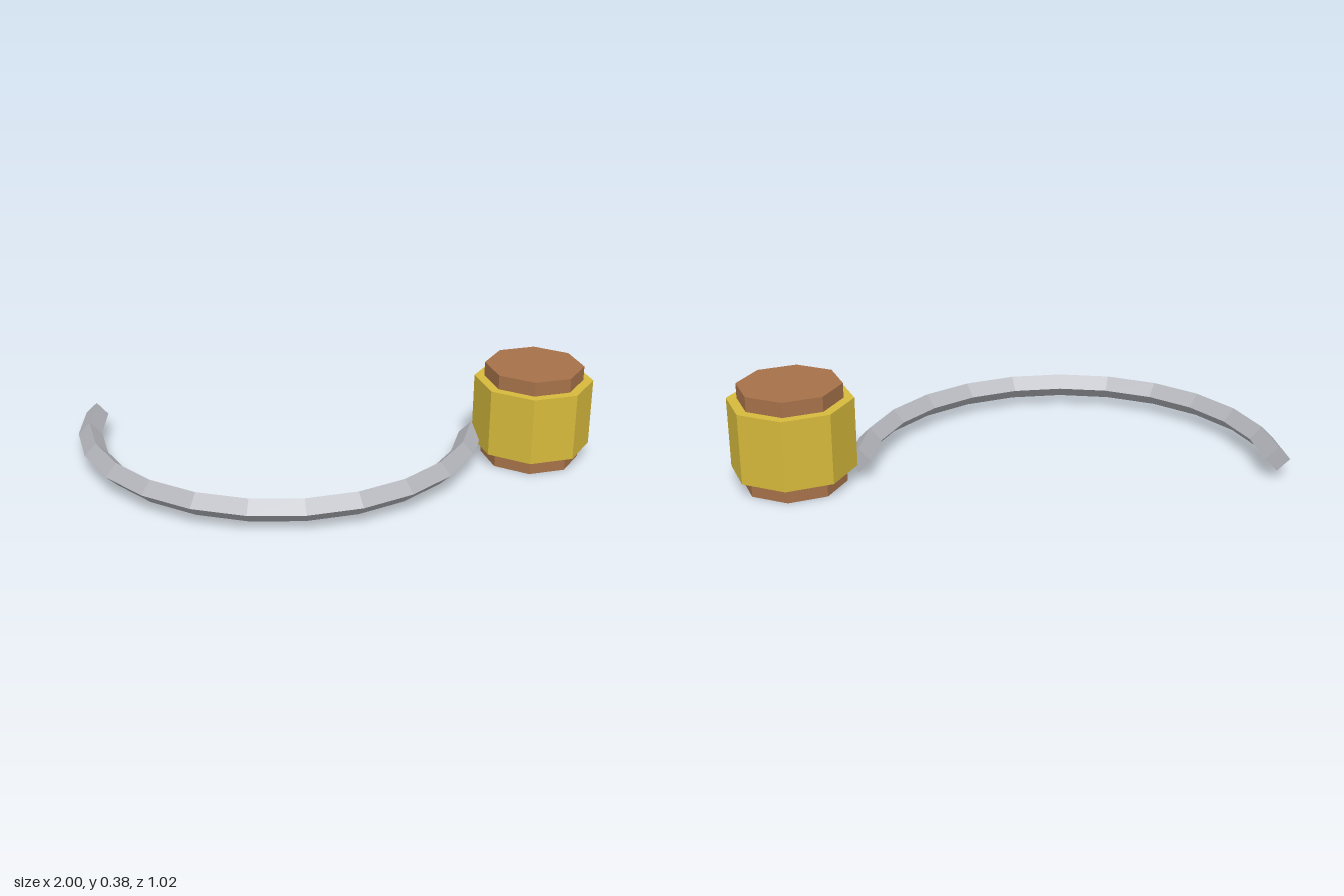
import * as THREE from 'three';

export function createModel() {
  const model = new THREE.Group();
  const mat = (name, color) => {
    const m = new THREE.MeshStandardMaterial({ color, flatShading: true });
    m.name = name;
    return m;
  };
  const steel = mat('steel', 0xb1b3b9);
  const gold = mat('gold', 0xd6ba3c);
  const brown = mat('brown', 0xa67249);

  const add = (name, geometry, material, x, y, z, parent = model) => {
    const mesh = new THREE.Mesh(geometry, material);
    mesh.name = name;
    mesh.position.set(x, y, z);
    parent.add(mesh);
    return mesh;
  };

  // Half-ring hook with a diamond cross-section, opening to the back
  const R = 0.75, r = 0.045;
  const hook = new THREE.Group();
  hook.name = 'hook';
  hook.position.set(-0.205, 0.078, -0.288);
  model.add(hook);
  add('hookArc', new THREE.TorusGeometry(R, r, 4, 12, Math.PI).rotateX(Math.PI / 2), steel, 0, 0, 0, hook);
  for (const side of [-1, 1]) {
    add('hookEnd', new THREE.CircleGeometry(r, 4).rotateY(Math.PI), steel, side * R, 0, 0, hook);
  }

  // Octagonal handle: a brown core through a wider gold collar
  const x = 0.775, z = -0.288;
  add('handleCore', new THREE.CylinderGeometry(0.1875, 0.1875, 0.375, 8), brown, x, 0.1875, z);
  add('handleCollar', new THREE.CylinderGeometry(0.225, 0.225, 0.26, 8), gold, x, 0.19, z);

  return model;
}
